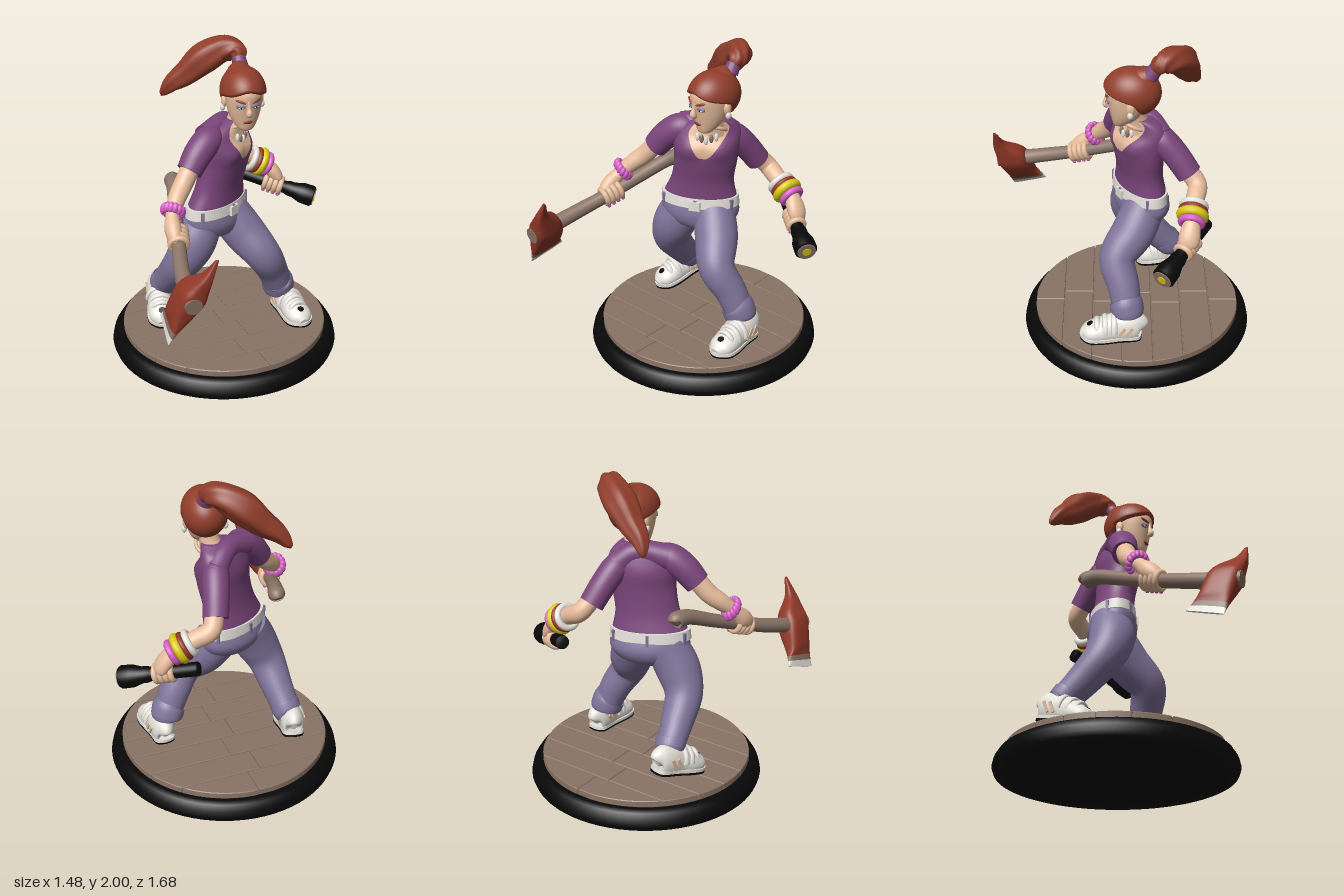
import * as THREE from 'three';
import { ParametricGeometry } from 'three/addons/geometries/ParametricGeometry.js';

const V = (x, y, z) => new THREE.Vector3(x, y, z);
const mat = (name, color) => Object.assign(new THREE.MeshStandardMaterial({ color }), { name });
const PI = Math.PI;

// closed skin over rings; fn(t, angle, k) gives a point, k = 0 is the ring centre
function grid(fn, nu = 24, nv = 24, t0 = 0, t1 = 1) {
  const rows = [[t0, 0], [t0, 1]];
  for (let j = 0; j <= nv; j++) rows.push([t0 + (t1 - t0) * j / nv, 1]);
  rows.push([t1, 1], [t1, 0]);
  const pos = [], idx = [];
  rows.forEach(([t, k], j) => {
    for (let i = 0; i < nu; i++) {
      pos.push(...fn(t, i / nu * 2 * PI, k).toArray());
      if (j === rows.length - 1) continue;
      const a = j * nu + i, b = j * nu + (i + 1) % nu;
      idx.push(a, b, b + nu, a, b + nu, a + nu);
    }
  });
  const g = new THREE.BufferGeometry();
  g.setAttribute('position', new THREE.Float32BufferAttribute(pos, 3));
  g.setIndex(idx);
  g.computeVertexNormals();
  return g;
}
const curveOf = (rows, a, b, c) => new THREE.CatmullRomCurve3(rows.map(r => V(r[a], r[b], r[c] ?? 0)), false, 'catmullrom');

// limb along a path, rows are [x, y, z, radius, second radius]
function limb(rows, { ref = V(0, 0, 1), rib = 0, floor = -9 } = {}) {
  const path = curveOf(rows, 0, 1, 2), size = curveOf(rows.map(r => [r[3], r[4] ?? r[3], 0]), 0, 1, 2);
  return grid((t, a, k) => {
    const T = path.getTangent(t), U = ref.clone().cross(T).normalize(), W = T.clone().cross(U);
    const s = size.getPoint(t), f = k * (1 + rib * Math.cos(5 * a));
    const p = path.getPoint(t).addScaledVector(U, f * s.x * Math.cos(a)).addScaledVector(W, f * s.y * Math.sin(a));
    p.y = Math.max(p.y, floor);
    return p;
  }, 30, (rows.length - 1) * 7);
}
// level oval rings, rows are [x, y, z, half width, half depth, turn]; front is angle -PI/2
function oval(rows, bust = 0) {
  const path = curveOf(rows, 0, 1, 2), size = curveOf(rows, 3, 4, 5);
  return (t, a, k) => {
    const p = path.getPoint(t), s = size.getPoint(t);
    const d = Math.abs(Math.atan2(-Math.cos(a), -Math.sin(a)));
    const swell = bust * Math.exp(-(((d - 0.6) / 0.4) ** 2) - (((p.y - 1.36) / 0.06) ** 2));
    const x = k * s.x * Math.cos(a), z = -k * (s.y + swell) * Math.sin(a);
    return V(p.x + x * Math.cos(s.z) + z * Math.sin(s.z), p.y, p.z - x * Math.sin(s.z) + z * Math.cos(s.z));
  };
}

export function createModel() {
  const skin = mat('skin', 0xeabf9e), hair = mat('hair red', 0x913e2b), shirt = mat('shirt purple', 0x7b467b),
    denim = mat('denim', 0x80759b), white = mat('white', 0xe6e3dc), pink = mat('pink', 0xd95fc8),
    yellow = mat('yellow', 0xdcc916), black = mat('black', 0x080808), wood = mat('wood', 0x8a7466),
    red = mat('axe red', 0x913827);
  const model = new THREE.Group();
  const add = (name, geo, m, parent = model) => {
    const o = new THREE.Mesh(geo, m);
    o.name = name;
    parent.add(o);
    return o;
  };
  const ball = (name, m, p, s, parent) => {
    const o = add(name, new THREE.SphereGeometry(1, 20, 14), m, parent);
    o.position.set(...p);
    o.scale.set(...s);
    return o;
  };
  const aim = (o, p, d, axis = V(0, 0, 1)) => {
    o.position.copy(p);
    o.quaternion.setFromUnitVectors(axis, d.clone().normalize());
    return o;
  };
  const ring = (name, m, p, d, r, tube) => aim(add(name, new THREE.TorusGeometry(r, tube, 10, 28), m), p, d);

  // display base with a hollow underside, and plank floor
  const base = add('base', new THREE.LatheGeometry([[0, 0.03], [0.67, 0.03], [0.68, 0], [0.72, 0], [0.731, 0.03],
    [0.722, 0.07], [0.7, 0.105], [0.675, 0.12], [0, 0.12]].map(p => new THREE.Vector2(...p)), 72), black);
  base.position.set(-0.007, 0, -0.11);
  const floor = new THREE.Group();
  floor.name = 'floor';
  floor.position.set(-0.007, 0.12, -0.11);
  floor.rotation.y = 0.03;
  model.add(floor);
  add('floorBed', new THREE.CylinderGeometry(0.65, 0.65, 0.04, 64), wood, floor).position.y = 0.012;
  const R = 0.657, n = 7;
  for (let i = 0; i < n; i++) {
    const z0 = -R + 2 * R * i / n + 0.003, z1 = -R + 2 * R * (i + 1) / n - 0.003;
    const a0 = Math.asin(z0 / R), a1 = Math.asin(z1 / R), split = [0.02, -0.06, 0.05, -0.04, 0.06, -0.06, 0.03][i];
    for (const side of [1, -1]) {
      const s = new THREE.Shape(), cut = split + side * 0.002, edge = side > 0 ? Math.max : Math.min;
      s.moveTo(cut, z0);
      for (let j = 0; j <= 12; j++) {
        const a = a0 + (a1 - a0) * j / 12;
        s.lineTo(edge(side * R * Math.cos(a), cut), R * Math.sin(a));
      }
      s.lineTo(cut, z1);
      const g = new THREE.ExtrudeGeometry(s, { depth: 0.034, bevelThickness: 0.005, bevelSize: 0.004, bevelOffset: -0.004, bevelSegments: 1 });
      const plank = add('plank', g, wood, floor);
      plank.rotation.x = -PI / 2;
      plank.position.y = 0.004;
    }
  }

  // jeans
  add('jeansSeat', grid(oval([[-0.05, 0.78, -0.12, 0.08, 0.06, 0.45], [-0.05, 0.825, -0.125, 0.19, 0.125, 0.48],
    [-0.055, 0.9, -0.13, 0.245, 0.152, 0.52], [-0.055, 1.0, -0.125, 0.238, 0.13, 0.52]]), 40), denim);
  add('leftTrouser', limb([[0.03, 0.92, -0.16, 0.13], [0.12, 0.77, -0.09, 0.135], [0.215, 0.63, 0.008, 0.115],
    [0.3, 0.48, -0.03, 0.1], [0.365, 0.32, -0.06, 0.088]]), denim);
  add('rightTrouser', limb([[-0.15, 0.92, -0.1, 0.13], [-0.225, 0.77, -0.07, 0.138], [-0.293, 0.63, -0.1, 0.118],
    [-0.325, 0.49, -0.21, 0.1], [-0.355, 0.36, -0.33, 0.083]]), denim);
  add('leftCuff', limb([[0.34, 0.39, -0.045, 0.094], [0.345, 0.38, -0.048, 0.104], [0.362, 0.325, -0.06, 0.102], [0.365, 0.312, -0.062, 0.088]]), denim);
  add('rightCuff', limb([[-0.34, 0.42, -0.285, 0.085], [-0.343, 0.41, -0.29, 0.093], [-0.353, 0.365, -0.325, 0.09], [-0.358, 0.355, -0.335, 0.076]]), denim);

  // belt, loops and buckle
  const beltAt = oval([[-0.055, 0.96, -0.125, 0.252, 0.142, 0.52], [-0.055, 1.025, -0.125, 0.245, 0.136, 0.52]]);
  add('belt', grid(beltAt, 48, 4), white);
  for (let i = 0; i < 6; i++) {
    const loop = add('beltLoop', new THREE.BoxGeometry(0.018, 0.07, 0.016), denim);
    const a = (i + 0.5) / 6 * 2 * PI;
    loop.position.copy(beltAt(0.5, a, 1));
    loop.rotation.y = a + PI / 2 + 0.52;
  }
  const buckle = add('buckle', new THREE.BoxGeometry(0.07, 0.06, 0.02), white);
  buckle.position.copy(beltAt(0.5, -PI / 2, 1.03));
  buckle.rotation.y = 0.52;

  // shirt, neckline and sleeves
  const torso = oval([[-0.055, 1.005, -0.125, 0.236, 0.13, 0.52], [-0.03, 1.13, -0.12, 0.197, 0.12, 0.55],
    [0, 1.27, -0.115, 0.196, 0.13, 0.6], [0.005, 1.38, -0.115, 0.205, 0.135, 0.65], [0.01, 1.46, -0.125, 0.2, 0.108, 0.7],
    [0.035, 1.515, -0.13, 0.15, 0.09, 0.7], [0.07, 1.55, -0.12, 0.08, 0.07, 0.6]], 0.022);
  add('shirt', grid(torso, 48, 48), shirt);
  add('neckline', new ParametricGeometry((u, v, out) => {
    const w = 0.1 + 0.85 * v ** 0.7, a = -PI / 2 + (2 * u - 1) * w;
    out.copy(torso(0.41 + 0.58 * v, a, 1.03));
  }, 14, 24), skin);
  add('shoulderYoke', limb([[-0.14, 1.47, -0.06, 0.08], [-0.04, 1.5, -0.13, 0.068], [0.03, 1.495, -0.19, 0.066], [0.1, 1.43, -0.245, 0.075]], { ref: V(0, 1, 0) }), shirt);
  add('rightSleeve', limb([[-0.06, 1.455, -0.08, 0.06], [-0.13, 1.46, -0.04, 0.088], [-0.215, 1.4, 0, 0.088], [-0.288, 1.31, 0.035, 0.078]]), shirt);
  add('leftSleeve', limb([[0.07, 1.44, -0.19, 0.055], [0.1, 1.415, -0.25, 0.08], [0.13, 1.32, -0.34, 0.08], [0.16, 1.21, -0.42, 0.076]]), shirt);

  // arms
  add('rightArm', limb([[-0.25, 1.37, 0.02, 0.06], [-0.34, 1.25, 0.07, 0.058], [-0.4, 1.19, 0.12, 0.054],
    [-0.455, 1.12, 0.19, 0.042], [-0.475, 1.06, 0.25, 0.05, 0.058], [-0.475, 1.0, 0.31, 0.04, 0.045], [-0.475, 0.98, 0.33, 0.01]]), skin);
  add('leftArm', limb([[0.15, 1.28, -0.37, 0.056], [0.2, 1.17, -0.465, 0.058], [0.295, 1.115, -0.455, 0.056],
    [0.41, 1.06, -0.44, 0.045], [0.47, 0.99, -0.425, 0.048, 0.062], [0.505, 0.93, -0.415, 0.038, 0.057], [0.515, 0.9, -0.41, 0.01]]), skin);
  // fingers curled round a shaft, with painted nails on the given side
  const fingers = (p, d, r, nailSide) => {
    const out = nailSide.clone().projectOnPlane(d).normalize();
    for (let i = 0; i < 4; i++) {
      const c = p.clone().addScaledVector(d, (i - 1.5) * 0.034);
      ring('finger', skin, c, d, r, 0.018);
      ball('nail', pink, c.addScaledVector(out, r + 0.013).toArray(), [0.013, 0.013, 0.013]);
    }
  };

  // bracelets: place along the forearm, colour, radius, thickness
  [[0.33, white, 0.068, 0.021], [0.36, red, 0.072, 0.018], [0.39, yellow, 0.07, 0.028], [0.432, pink, 0.062, 0.021]].forEach(([x, m, r, tube]) =>
    ring('bracelet', m, V(x, 1.1 - (x - 0.315) * 0.5, -0.45 + (x - 0.315) * 0.15), V(0.22, -0.12, 0.04), r, tube));
  const beads = new THREE.Group();
  beads.name = 'beadBracelet';
  model.add(aim(beads, V(-0.445, 1.14, 0.17), V(-0.055, -0.075, 0.07)));
  for (let i = 0; i < 14; i++) {
    const a = i / 14 * 2 * PI;
    ball('bead', pink, [0.057 * Math.cos(a), 0.057 * Math.sin(a), 0], [0.021, 0.021, 0.032], beads).rotation.x = 0.5;
  }

  // axe
  add('axeHandle', limb([[-0.31, 1.14, -0.225, 0.03], [-0.31, 1.155, -0.205, 0.052], [-0.335, 1.15, -0.11, 0.046], [-0.39, 1.085, 0.06, 0.042],
    [-0.455, 1.005, 0.28, 0.042], [-0.52, 0.935, 0.5, 0.046], [-0.56, 0.885, 0.7, 0.05], [-0.568, 0.87, 0.825, 0.05]], { ref: V(0, 1, 0) }), wood);
  fingers(V(-0.452, 1.008, 0.27), V(-0.26, -0.3, 0.88).normalize(), 0.05, V(0.6, -1, 0));
  const axe = [[0.83, 1.14, 0.81, 1.13, 0.008], [0.842, 1.03, 0.765, 1.04, 0.03], [0.832, 0.95, 0.66, 0.965, 0.06],
    [0.822, 0.88, 0.62, 0.89, 0.078], [0.785, 0.76, 0.585, 0.77, 0.052], [0.765, 0.69, 0.56, 0.735, 0.028], [0.745, 0.61, 0.52, 0.68, 0.005]];
  const front = curveOf(axe, 0, 1, 4), back = curveOf(axe, 2, 3, 4), soft = v => Math.sign(v) * Math.abs(v) ** 0.6;
  const axeAt = (t, a, k) => {
    const f = front.getPoint(t), b = back.getPoint(t), c = k * soft(Math.cos(a)) / 2, s = k * soft(Math.sin(a)) * f.z;
    const z = (f.x + b.x) / 2 + c * (f.x - b.x), y = (f.y + b.y) / 2 + c * (f.y - b.y);
    return V(-0.43 - 0.51 * (1.13 - y) - s * 0.89, y + s * 0.45, z);
  };
  [['axeHead', red, 0, 0.85], ['axeBlade', wood, 0.85, 0.92], ['axeEdge', white, 0.92, 1]].forEach(([name, m, a, b]) =>
    add(name, grid(axeAt, 32, 24, a, b), m));

  // flashlight
  const torch = new THREE.Group(), beam = V(0.41, -0.14, 0.27).normalize();
  torch.name = 'flashlight';
  model.add(aim(torch, V(0.3, 0.96, -0.53), beam, V(0, 1, 0)));
  add('torchBody', new THREE.LatheGeometry([[0, 0], [0.036, 0], [0.042, 0.01], [0.042, 0.3], [0.05, 0.33], [0.05, 0.36],
    [0.068, 0.42], [0.07, 0.49], [0.062, 0.5], [0, 0.5]].map(p => new THREE.Vector2(...p)), 32), black, torch);
  add('torchReflector', new THREE.CylinderGeometry(0.058, 0.058, 0.008, 28), wood, torch).position.y = 0.503;
  add('torchLens', new THREE.CylinderGeometry(0.027, 0.027, 0.008, 20), yellow, torch).position.y = 0.508;
  fingers(V(0.475, 0.9, -0.415), beam, 0.047, V(-0.3, -1, 0.5));

  // shoes
  const shoe = (name, p, yaw, pitch) => {
    const g = new THREE.Group();
    g.name = name;
    g.position.set(...p);
    g.rotation.set(pitch, yaw, 0, 'YXZ');
    model.add(g);
    const up = { ref: V(0, 1, 0), floor: 0.018 };
    add('upper', limb([[0, 0.07, -0.19, 0.02, 0.03], [0, 0.08, -0.175, 0.06, 0.09], [0, 0.08, -0.11, 0.075, 0.105], [0, 0.07, -0.02, 0.075, 0.1],
      [0, 0.055, 0.07, 0.085, 0.075], [0, 0.045, 0.14, 0.075, 0.055], [0, 0.035, 0.185, 0.03, 0.025]], up), white, g);
    const s = new THREE.Shape();
    s.moveTo(0, -0.195);
    s.splineThru([[0.06, -0.17], [0.072, -0.06], [0.09, 0.07], [0.075, 0.15], [0, 0.195], [-0.075, 0.15],
      [-0.09, 0.07], [-0.072, -0.06], [-0.06, -0.17], [0, -0.195]].map(q => new THREE.Vector2(...q)));
    for (const [part, m, y, d] of [['outsole', black, 0, 0.014], ['midsole', white, 0.014, 0.02]]) {
      const o = add(part, new THREE.ExtrudeGeometry(s, { depth: d, bevelEnabled: false, curveSegments: 40 }), m, g);
      o.rotation.x = PI / 2;
      o.position.y = y + d;
    }
    for (const [z, r] of [[-0.02, 0.09], [0.035, 0.08], [0.085, 0.068]]) {
      const strap = add('strap', new THREE.TorusGeometry(r, 0.014, 8, 20, PI), white, g);
      strap.position.set(0, 0.075 - (z + 0.02) * 0.1, z);
      strap.scale.set(0.9, 1, 1.4);
    }
    for (const side of [1, -1]) for (const z of [-0.065, -0.11]) {
      const stripe = add('sideStripe', new THREE.BoxGeometry(0.008, 0.075, 0.018), skin, g);
      stripe.position.set(side * 0.0765, 0.08, z);
      stripe.rotation.x = -0.6;
    }
    const toe = add('toeMark', new THREE.CylinderGeometry(0.02, 0.024, 0.008, 16), black, g);
    toe.position.set(0, 0.105, 0.13);
    toe.rotation.x = 0.4;
  };
  shoe('leftShoe', [0.405, 0.16, 0.045], 0.06, 0);
  shoe('rightShoe', [-0.39, 0.208, -0.285], -0.24, 0.24);
  add('leftAnkle', limb([[0.365, 0.34, -0.06, 0.06], [0.39, 0.24, -0.07, 0.055]]), skin);
  add('rightAnkle', limb([[-0.355, 0.39, -0.33, 0.06], [-0.365, 0.3, -0.38, 0.055]]), skin);

  // neck and necklace
  add('neck', limb([[0.07, 1.48, -0.12, 0.08], [0.085, 1.55, -0.1, 0.062], [0.1, 1.66, -0.08, 0.062]]), skin);
  ring('necklace', skin, V(0.083, 1.505, -0.085), V(-0.2, 1, -0.45), 0.082, 0.011);
  for (let i = -2; i <= 2; i++)
    ball('pendant', i % 2 ? wood : white, torso(0.615 + 0.025 * Math.abs(i), -PI / 2 + i * 0.13, 1.09).toArray(), [0.013, 0.028, 0.013]);

  // head
  const head = new THREE.Group();
  head.name = 'head';
  head.position.set(0.105, 1.7, -0.07);
  head.rotation.y = -0.15;
  model.add(head);
  add('face', grid(oval([[0, -0.195, 0.07, 0.022, 0.02, 0], [0, -0.18, 0.062, 0.05, 0.045, 0], [0, -0.13, 0.035, 0.082, 0.085, 0],
    [0, -0.06, 0.02, 0.104, 0.115, 0], [0, 0.03, 0.01, 0.114, 0.142, 0], [0, 0.08, 0, 0.104, 0.13, 0], [0, 0.12, 0, 0.05, 0.07, 0]]), 32, 36), skin, head);
  add('nose', limb([[0, 0.015, 0.142, 0.011], [0, -0.03, 0.147, 0.013], [0, -0.065, 0.152, 0.02], [0, -0.08, 0.135, 0.012]]), skin, head);
  ball('mouth', red, [0, -0.128, 0.118], [0.028, 0.012, 0.009], head);
  for (const s of [1, -1]) {
    ball('eyeShadow', denim, [s * 0.047, -0.022, 0.131], [0.028, 0.016, 0.01], head).rotation.y = s * 0.4;
    ball('eye', white, [s * 0.047, -0.028, 0.134], [0.019, 0.008, 0.009], head).rotation.y = s * 0.4;
    ball('pupil', black, [s * 0.045, -0.027, 0.14], [0.007, 0.007, 0.005], head);
    const brow = ball('eyebrow', hair, [s * 0.05, 0.012, 0.137], [0.034, 0.008, 0.008], head);
    brow.rotation.set(0, s * 0.4, s * 0.3);
    ball('ear', skin, [s * 0.114, -0.03, -0.015], [0.018, 0.04, 0.026], head);
    ball('earring', white, [s * 0.123, -0.068, -0.015], [0.016, 0.024, 0.018], head);
  }

  // hair, tucked inside the head where the face shows
  const cap = new THREE.SphereGeometry(1, 80, 64), q = cap.attributes.position;
  for (let i = 0; i < q.count; i++) {
    const x = q.getX(i) * 0.139, y = q.getY(i) * 0.15 + 0.03, z = q.getZ(i) * 0.174 - 0.003;
    const f = Math.min(z + 0.03 - (y - 0.02) * 0.5, 0.02 + z * 0.3 - y + 0.01 * Math.cos(x * 30));
    const k = 1 - 0.35 * THREE.MathUtils.smoothstep(f, 0, 0.02);
    q.setXYZ(i, x * k, y * k, z * k);
  }
  cap.computeVertexNormals();
  add('hair', cap, hair, head);
  add('hairGathered', limb([[0.105, 1.74, -0.09, 0.11], [0.11, 1.79, -0.125, 0.105], [0.12, 1.83, -0.16, 0.075], [0.13, 1.855, -0.185, 0.046]]), hair);
  aim(add('hairTie', new THREE.CylinderGeometry(0.042, 0.048, 0.06, 20), shirt), V(0.135, 1.868, -0.195), V(0, 0.8, -0.5), V(0, 1, 0));
  add('ponytail', limb([[0.14, 1.88, -0.2, 0.035], [0.135, 1.92, -0.245, 0.062], [0.075, 1.92, -0.315, 0.08], [-0.03, 1.855, -0.365, 0.095],
    [-0.13, 1.765, -0.4, 0.076], [-0.215, 1.7, -0.43, 0.055], [-0.262, 1.64, -0.46, 0.028], [-0.275, 1.615, -0.468, 0.006]], { rib: 0.07 }), hair);
  return model;
}
